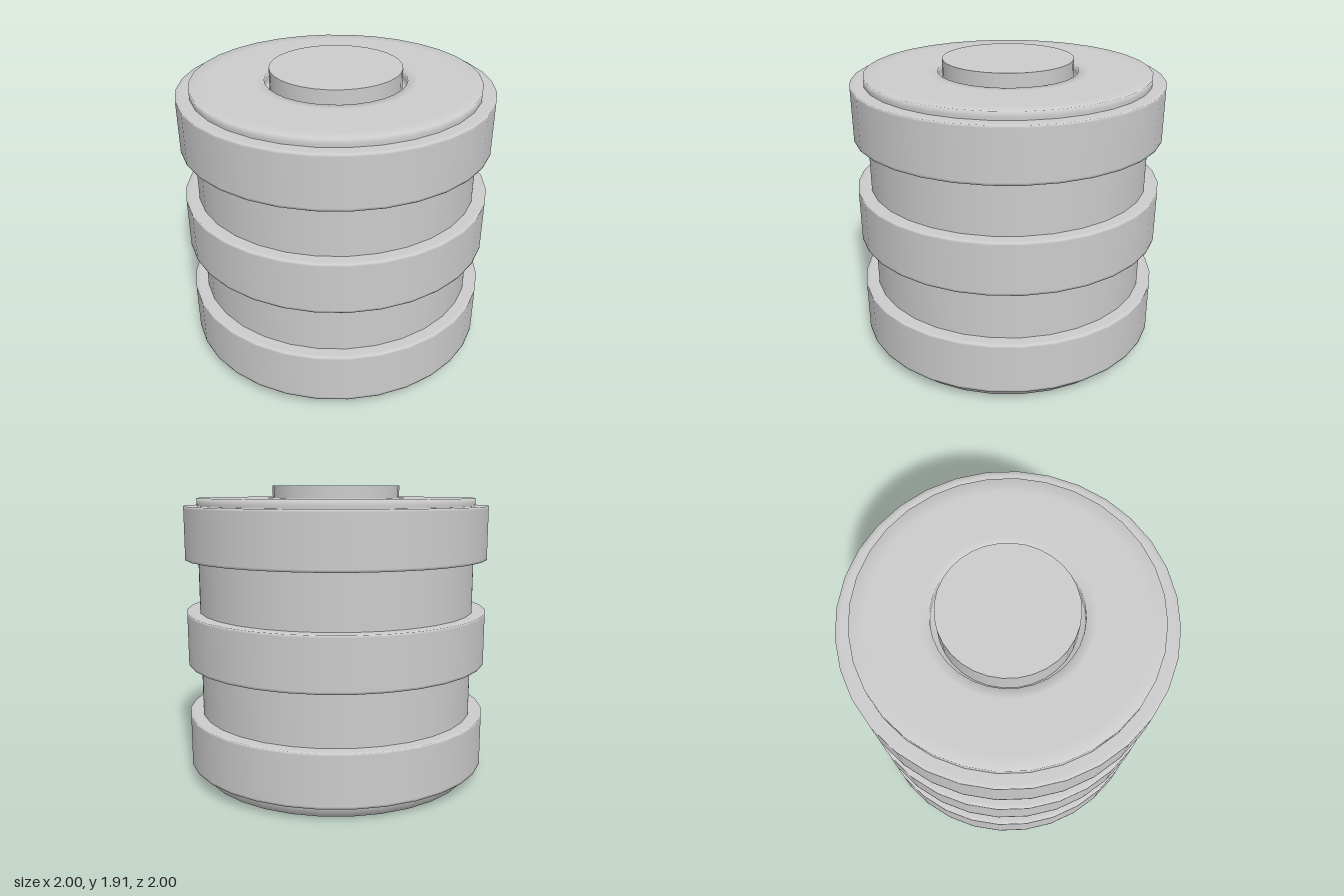
import * as THREE from 'three';

const SIDES = 32;
const material = new THREE.MeshStandardMaterial({ color: 0xcccccc });

// Revolves [radius, height] pairs, listed from the bottom up the outside
function revolve(name, profile) {
  const points = profile.map(([r, y]) => new THREE.Vector2(r, y));
  const mesh = new THREE.Mesh(new THREE.LatheGeometry(points, SIDES), material);
  mesh.name = name;
  return mesh;
}

export function createModel() {
  const group = new THREE.Group();
  group.name = 'ribbedCanister';

  // Core drum with softly shaded rims and a recess around the cap
  group.add(revolve('drum', [
    [0, 0], [0.82, 0], [0.915, 0], [0.915, 0.06],
    [0.915, 1.8], [0.915, 1.835], [0.82, 1.835],
    [0.51, 1.835], [0.45, 1.835], [0.45, 1.8], [0.45, 1.75], [0.38, 1.75],
  ]));

  // Three raised bands
  const height = 0.337, loop = 0.015;
  [0.083, 0.766, 1.448].forEach((y, i) => {
    const top = y + height;
    group.add(revolve(`band${i + 1}`, [
      [0.89, y], [0.97, y], [1, y], [1, y + loop],
      [1, top - loop], [1, top], [0.97, top], [0.89, top],
    ]));
  });

  // Round cap standing in the recess
  const cap = new THREE.Mesh(new THREE.CylinderGeometry(0.418, 0.418, 0.17, SIDES), material);
  cap.name = 'cap';
  cap.position.y = 1.913 - 0.085;
  group.add(cap);

  return group;
}
